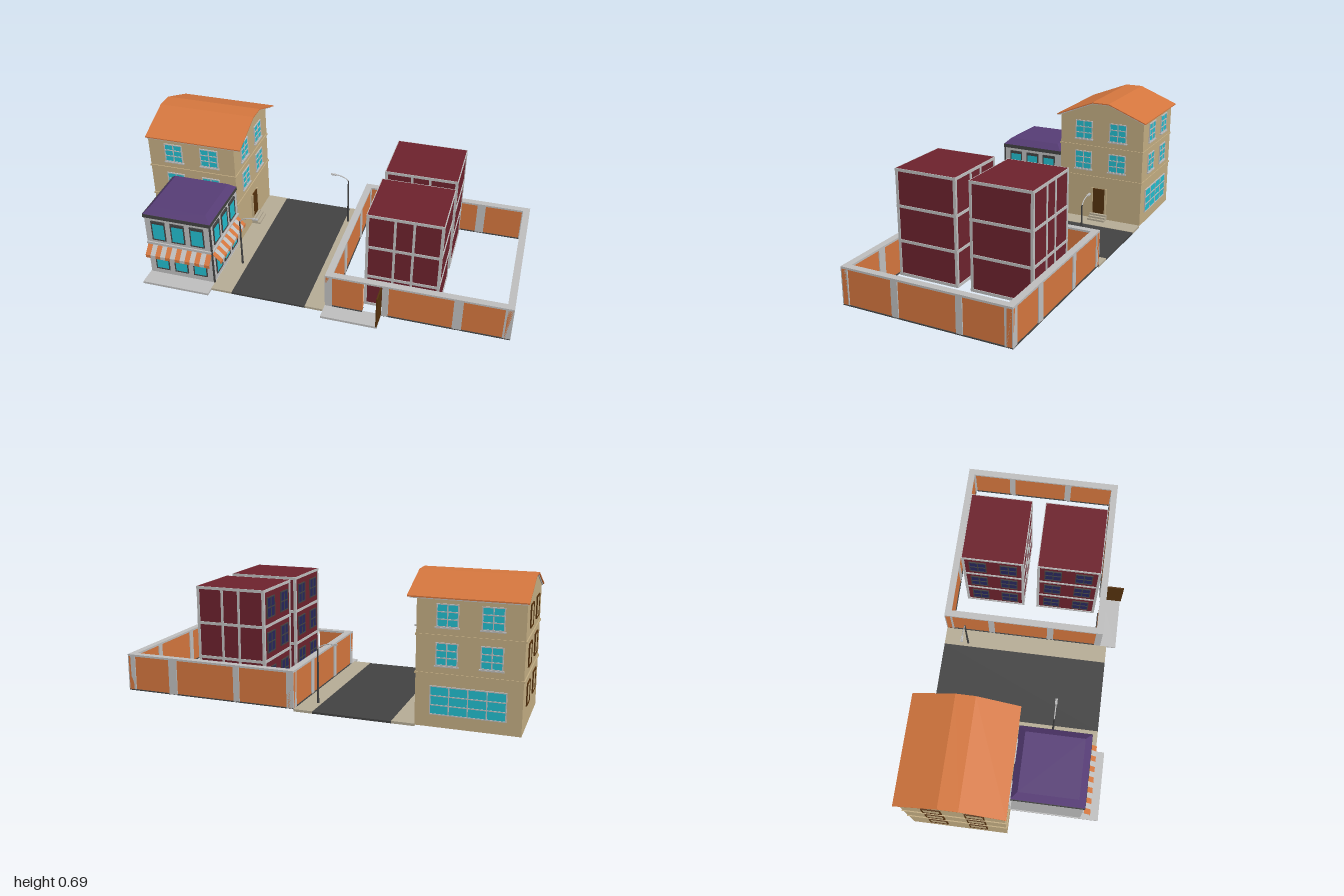
import * as THREE from 'three';

const mat = (name, color) => {
  const m = new THREE.MeshStandardMaterial({ color });
  m.name = name;
  return m;
};

export function createModel() {
  const model = new THREE.Group();
  model.name = 'streetBlock';
  const M = {
    orange: mat('orange', 0xd4763e), tan: mat('tan', 0xc2ac82), maroon: mat('maroon', 0x6c222d),
    grey: mat('lightGrey', 0xbebebe), glass: mat('glass', 0x22bccd), purple: mat('purple', 0x563c75),
    dark: mat('asphalt', 0x424242), pave: mat('pavement', 0xb5ab95), wood: mat('wood', 0x54310d),
    navy: mat('darkGlass', 0x26265c),
  };
  const add = (parent, name, geo, m) => {
    const mesh = new THREE.Mesh(geo, m);
    mesh.name = name;
    parent.add(mesh);
    return mesh;
  };
  // Box given by its limits
  const box = (parent, name, m, x0, x1, y0, y1, z0, z1) => {
    const b = add(parent, name, new THREE.BoxGeometry(x1 - x0, y1 - y0, z1 - z0), m);
    b.position.set((x0 + x1) / 2, (y0 + y1) / 2, (z0 + z1) / 2);
    return b;
  };
  const group = (name, parent = model) => {
    const g = new THREE.Group();
    g.name = name;
    parent.add(g);
    return g;
  };
  // Facade: local x runs along the wall, local z points outwards
  const facade = (parent, name, x, z, angle) => {
    const g = group(name, parent);
    g.position.set(x, 0, z);
    g.rotation.y = angle;
    return g;
  };
  const HALF = Math.PI / 2;

  // Window with frame, panes and glazing bars
  const windowAt = (f, x, y0, w, h, glass, frame, cols = 2, rows = 2) => {
    const g = group('window', f), t = 0.005, x0 = x - w / 2, y1 = y0 + h;
    box(g, 'pane', glass, x0, x0 + w, y0, y1, 0, 0.003);
    for (let i = 0; i <= cols; i++) {
      const c = x0 + (w * i) / cols;
      box(g, 'upright', frame, c - t / 2, c + t / 2, y0, y1, 0, 0.006);
    }
    for (let i = 0; i <= rows; i++) {
      const c = y0 + (h * i) / rows;
      box(g, 'bar', frame, x0 - t / 2, x0 + w + t / 2, c - t / 2, c + t / 2, 0, 0.006);
    }
  };

  // Street and pavements
  const street = group('street');
  box(street, 'road', M.dark, -0.4, -0.01, 0, 0.01, -0.465, 0.43);
  box(street, 'leftPavement', M.pave, -0.01, 0.085, 0, 0.012, -0.465, 0.43);
  box(street, 'rightPavement', M.pave, -0.51, -0.4, 0, 0.012, -0.465, 0.43);

  // Street lamps
  for (const [x, z, s] of [[-0.43, 0.19, 1], [0.01, -0.335, -1]]) {
    const lamp = group('streetLamp');
    lamp.position.set(x, 0, z);
    const pole = add(lamp, 'pole', new THREE.CylinderGeometry(0.004, 0.006, 0.275, 8), M.dark);
    pole.position.y = 0.147;
    const path = new THREE.CatmullRomCurve3([[0, 0.28], [0.015, 0.298], [0.05, 0.311], [0.1, 0.316]]
      .map(([a, b]) => new THREE.Vector3(a * s, b, 0)));
    add(lamp, 'arm', new THREE.TubeGeometry(path, 10, 0.003, 6), M.grey);
    box(lamp, 'head', M.grey, s * 0.085 - 0.015, s * 0.085 + 0.015, 0.309, 0.315, -0.006, 0.006);
  }

  // Tall house: gabled body, with the profile drawn across the depth
  const house = group('tallHouse');
  const extrudeX = (pts, x0, x1) => {
    const shape = new THREE.Shape(pts.map(([z, y]) => new THREE.Vector2(-z, y)));
    return new THREE.ExtrudeGeometry(shape, { depth: x1 - x0, bevelEnabled: false })
      .rotateY(HALF).translate(x0, 0, 0);
  };
  add(house, 'walls', extrudeX([[0.02, 0.008], [-0.465, 0.008], [-0.465, 0.603], [-0.275, 0.68],
    [-0.18, 0.68], [0.02, 0.603]], -0.99, -0.51), M.tan);
  const ridge = [[0.03, 0.608], [-0.18, 0.692], [-0.275, 0.692], [-0.487, 0.608]];
  add(house, 'roof', extrudeX([...ridge, ...ridge.map(([z, y]) => [z, y - 0.006]).reverse()], -1, -0.47), M.orange);
  const under = ridge.map(([z, y]) => [z * 0.98 - 0.003, y - 0.0062]);
  add(house, 'roofLining', extrudeX([...under, ...under.map(([z, y]) => [z, y - 0.005]).reverse()], -0.995, -0.48), M.grey);
  for (const y of [0.252, 0.428]) box(house, 'floorBand', M.tan, -0.995, -0.505, y, y + 0.009, -0.469, 0.025);

  const front = facade(house, 'houseFront', -0.75, 0.02, 0);
  const left = facade(house, 'houseLeft', -0.51, -0.22, HALF);
  const back = facade(house, 'houseBack', -0.75, -0.465, Math.PI);
  const right = facade(house, 'houseRight', -0.99, -0.22, -HALF);
  for (const y of [0.3, 0.475]) {
    for (const s of [-1, 1]) {
      for (const f of [front, left, back]) {
        windowAt(f, s * 0.1, y, 0.095, 0.1, M.glass, M.grey, 2, 3);
        box(f, 'sill', M.grey, s * 0.1 - 0.055, s * 0.1 + 0.055, y - 0.008, y - 0.002, 0, 0.01);
      }
      // Blind windows
      windowAt(right, s * 0.1, y, 0.085, 0.1, M.tan, M.wood, 1, 1);
    }
  }
  for (const s of [-1, 1]) windowAt(right, s * 0.1, 0.12, 0.085, 0.1, M.tan, M.wood, 1, 1);
  windowAt(back, 0, 0.07, 0.34, 0.13, M.glass, M.grey, 4, 3);

  // House door and steps
  box(left, 'door', M.wood, -0.035, 0.035, 0.045, 0.19, 0, 0.006);
  for (const s of [-1, 1]) box(left, 'doorJamb', M.tan, s * 0.04 - 0.005, s * 0.04 + 0.005, 0.045, 0.195, 0, 0.01);
  for (let i = 0; i < 3; i++) box(left, 'step', M.pave, -0.05, 0.05, 0.012, 0.042 - i * 0.01, i * 0.016, (i + 1) * 0.016);

  // Corner shop
  const shop = group('cornerShop');
  box(shop, 'groundSlab', M.grey, -0.87, -0.51, 0, 0.012, 0.02, 0.475);
  box(shop, 'walls', M.grey, -0.865, -0.512, 0.012, 0.36, 0.02, 0.382);
  box(shop, 'cornice', M.dark, -0.872, -0.506, 0.358, 0.378, 0.022, 0.387);
  const roofGeo = new THREE.CylinderGeometry(0.148 * Math.SQRT2, 0.181 * Math.SQRT2, 0.032, 4, 1)
    .rotateY(Math.PI / 4).toNonIndexed();
  roofGeo.computeVertexNormals();
  add(shop, 'mansardRoof', roofGeo, M.purple).position.set(-0.688, 0.394, 0.205);
  box(shop, 'cornerPipe', M.dark, -0.515, -0.507, 0.012, 0.36, 0.376, 0.384);

  const shopFaces = [
    facade(shop, 'shopFront', -0.688, 0.382, 0),
    facade(shop, 'shopSide', -0.512, 0.202, HALF),
  ];
  for (const f of shopFaces) {
    for (const x of [-0.105, 0, 0.105]) {
      for (const [y, h] of [[0.045, 0.1], [0.23, 0.11]]) {
        windowAt(f, x, y, 0.07, h, M.glass, M.dark, 1, 1);
        box(f, 'lintel', M.dark, x - 0.036, x + 0.036, y + h - 0.012, y + h, 0, 0.008);
      }
    }
    box(f, 'ledge', M.grey, -0.177, 0.177, 0.2, 0.21, 0, 0.008);
    // Striped awning: sloping cloth with a hanging edge
    const awning = group('awning', f), n = 13, w = 0.35 / n;
    for (let i = 0; i < n; i++) {
      const x = -0.175 + w * (i + 0.5), m = i % 2 ? M.grey : M.orange;
      const cloth = add(awning, 'awningStripe', new THREE.BoxGeometry(w, 0.003, 0.058), m);
      cloth.position.set(x, 0.17, 0.021);
      cloth.rotation.x = Math.atan2(0.04, 0.042);
      box(awning, 'awningEdge', m, x - w / 2, x + w / 2, 0.134, 0.151, 0.04, 0.043);
    }
  }

  // Walled yard
  const yard = group('walledYard');
  const T = 0.035;
  const wall = (name, x, z, angle, length, posts, gate) => {
    const f = facade(yard, name, x, z, angle);
    const end = gate ? gate[0] : length;
    const panels = gate ? [[0, end], [gate[1], length]] : [[0, length]];
    for (const [a, b] of panels) {
      box(f, 'panel', M.orange, a, b, 0.016, 0.19, -T + 0.005, -0.005);
      box(f, 'footing', M.dark, a, b, 0.011, 0.016, -T, 0);
    }
    box(f, 'coping', M.grey, 0, length, 0.19, 0.2, -T, 0);
    for (const [a, b] of posts) box(f, 'post', M.grey, a, b, 0.012, 0.199, -T, 0);
  };
  const across = [[0, 0.037], [0.288, 0.32], [0.635, 0.68], [0.875, 0.915]];
  const along = [[0, 0.035], [0.265, 0.3], [0.59, 0.622], [0.82, 0.86]];
  const flip = (list, len) => list.map(([a, b]) => [len - b, len - a]);
  wall('frontWall', 0.085, 0.395, 0, 0.915, across, [0.19, 0.288]);
  wall('backWall', 1, -0.465, Math.PI, 0.915, flip(across, 0.915));
  wall('leftWall', 1, 0.395, HALF, 0.86, along);
  wall('rightWall', 0.085, -0.465, -HALF, 0.86, flip(along, 0.86));
  box(yard, 'gateSlab', M.grey, 0.085, 0.37, 0, 0.012, 0.385, 0.48);
  box(yard, 'openGate', M.wood, 0.364, 0.371, 0.014, 0.19, 0.39, 0.485);

  // Twin framed blocks in the yard
  const block = (z0, z1) => {
    const g = group('framedBlock'), x0 = 0.275, x1 = 0.635, y0 = 0.02, y1 = 0.56, p = 0.004;
    box(g, 'core', M.maroon, x0, x1, y0, y1, z0, z1);
    const cx = (x0 + x1) / 2, cz = (z0 + z1) / 2, dx = x1 - x0, dz = z1 - z0;
    const faces = [
      [cx, z1, 0, dx, [-0.045, 0.045]], [cx, z0, Math.PI, dx, [-0.045, 0.045]],
      [x1, cz, HALF, dz, []], [x0, cz, -HALF, dz, []],
    ];
    faces.forEach(([x, z, angle, len, bars], i) => {
      const f = facade(g, 'blockFace', x, z, angle), h = len / 2;
      for (const u of [-h + 0.004, ...bars, h - 0.004])
        box(f, 'frameUpright', M.grey, u - 0.006, u + 0.006, y0, y1, 0, p);
      for (const y of [0.027, 0.2, 0.375, 0.553])
        box(f, 'frameRail', M.grey, -h - p, h + p, y - 0.007, y + 0.007, 0, p);
      if (i === 3)
        for (const u of [-0.08, 0.08])
          for (const y of [0.06, 0.24, 0.415]) windowAt(f, u, y, 0.085, 0.1, M.navy, M.dark, 2, 2);
    });
  };
  block(-0.372, -0.058);
  block(0.018, 0.336);

  return model;
}
